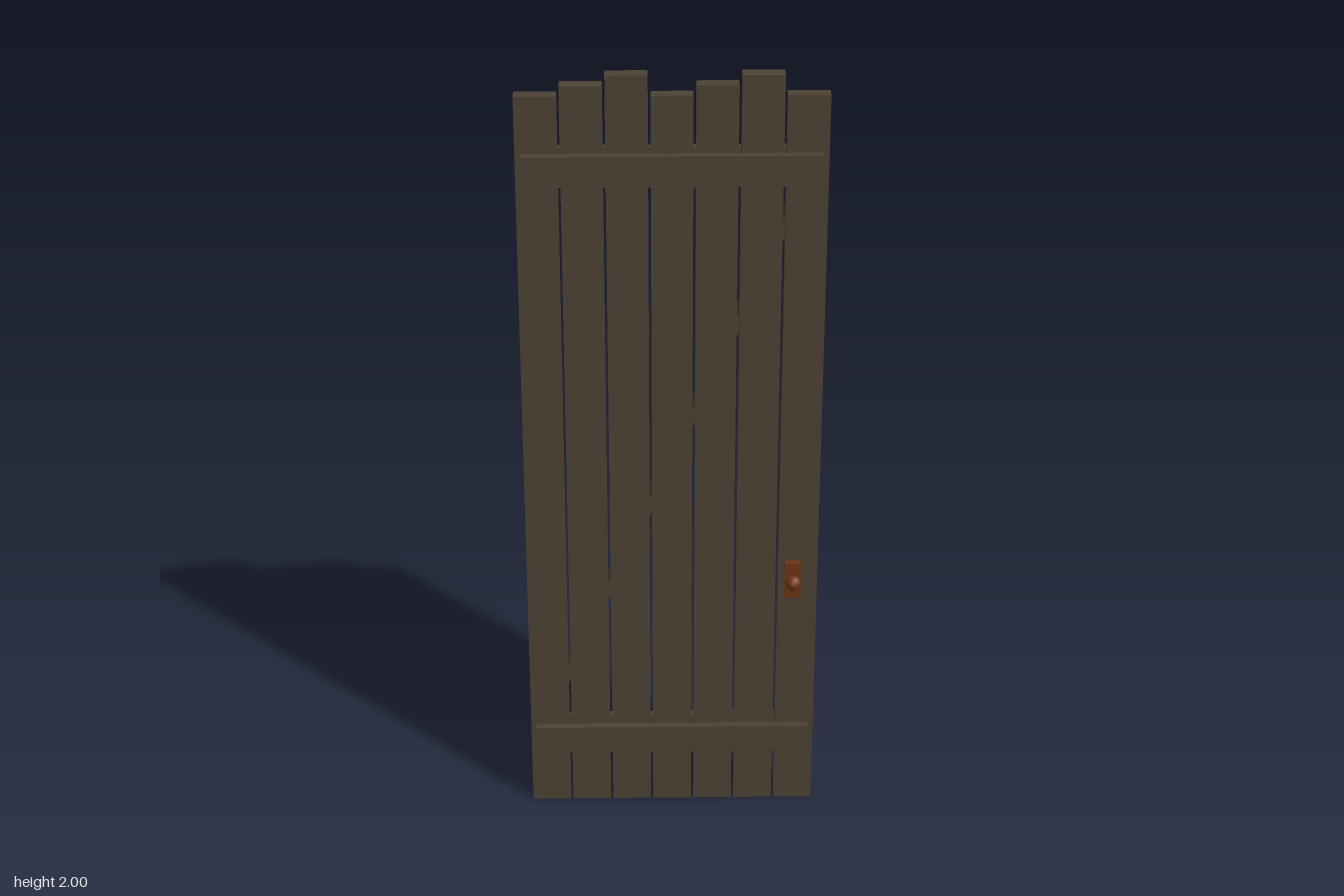
import * as THREE from 'three';

export function createModel() {
  const model = new THREE.Group();
  model.name = 'plankDoor';

  const wood = new THREE.MeshStandardMaterial({ color: 0x4c4134 });
  wood.name = 'dark wood';
  const copper = new THREE.MeshStandardMaterial({ color: 0x6e3614 });
  copper.name = 'aged copper';

  // Box given by its extents on each axis
  function slab(name, material, [x0, x1], [y0, y1], [z0, z1]) {
    const mesh = new THREE.Mesh(new THREE.BoxGeometry(x1 - x0, y1 - y0, z1 - z0), material);
    mesh.position.set((x0 + x1) / 2, (y0 + y1) / 2, (z0 + z1) / 2);
    mesh.name = name;
    model.add(mesh);
    return mesh;
  }

  // Seven upright planks with uneven tops and narrow gaps
  const tops = [1.95, 1.975, 2, 1.95, 1.975, 2, 1.95];
  const pitch = 0.1041, half = 0.049;
  tops.forEach((top, i) => {
    const x = -0.313 + i * pitch;
    slab('plank' + (i + 1), wood, [x - half, x + half], [0, top], [-0.015, 0.019]);
  });

  // Cross battens on both faces
  for (const [level, y] of [['lower', 0.16], ['upper', 1.735]]) {
    slab(level + 'FrontBatten', wood, [-0.349, 0.347], [y, y + 0.076], [0.019, 0.039]);
    slab(level + 'BackBatten', wood, [-0.349, 0.347], [y, y + 0.076], [-0.035, -0.015]);
  }

  // Diagonal brace across the back
  const brace = slab('diagonalBrace', wood, [-0.0185, 0.0015], [0.148, 1.802], [-0.067, -0.002]);
  brace.rotation.z = -Math.atan(1 / 2.36);

  // Handle plate and a faceted knob on each side
  slab('handlePlate', copper, [0.279, 0.319], [0.62, 0.72], [-0.027, 0.033]);
  for (const [name, z] of [['frontKnob', 0.045], ['backKnob', -0.039]]) {
    const knob = new THREE.Mesh(new THREE.IcosahedronGeometry(0.02, 1), copper);
    knob.position.set(0.3, 0.67, z);
    knob.name = name;
    model.add(knob);
  }

  return model;
}
